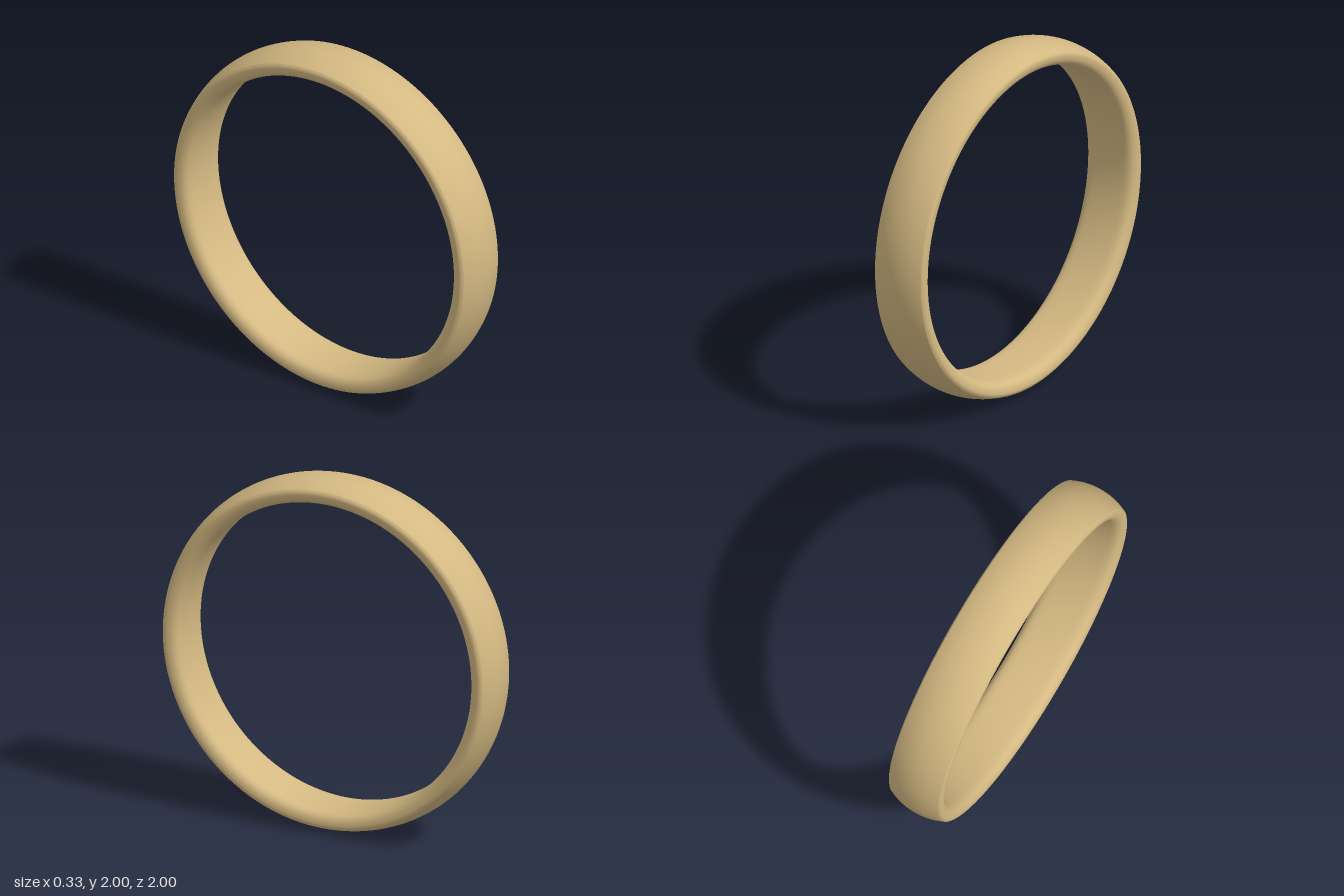
import * as THREE from 'three';

const SEGMENTS = 160;
const EDGE_X = 0.155, EDGE_R = 0.965; // crease between dome and rim

// Turn a profile of (radius, axial) points around the x axis
function turned(name, points, material) {
  const geometry = new THREE.LatheGeometry(points, SEGMENTS);
  geometry.rotateZ(-Math.PI / 2);
  const mesh = new THREE.Mesh(geometry, material);
  mesh.name = name;
  return mesh;
}

export function createModel() {
  const ring = new THREE.Group();
  ring.name = 'ring';
  const gold = new THREE.MeshStandardMaterial({ color: 0xd4b982 });

  // Domed outer face: a shallow circular arc
  const rise = 1 - EDGE_R;
  const arcR = (EDGE_X * EDGE_X + rise * rise) / (2 * rise);
  const half = Math.asin(EDGE_X / arcR);
  const dome = [];
  for (let i = 0; i <= 24; i++) {
    const a = -half + (2 * half * i) / 24;
    dome.push(new THREE.Vector2(1 - arcR + arcR * Math.cos(a), arcR * Math.sin(a)));
  }
  ring.add(turned('outerBand', dome, gold));

  // Rounded rims flowing smoothly into the inner face
  const side = [
    [EDGE_R, EDGE_X], [0.953, 0.163], [0.938, 0.165], [0.914, 0.16],
    [0.894, 0.146], [0.882, 0.122], [0.877, 0.08],
  ].map(([r, x]) => new THREE.Vector2(r, x));
  const mirrored = side.map((p) => new THREE.Vector2(p.x, -p.y)).reverse();
  const inner = new THREE.SplineCurve([...side, new THREE.Vector2(0.875, 0), ...mirrored]);
  ring.add(turned('innerBand', inner.getPoints(56), gold));

  ring.position.y = 1;
  const model = new THREE.Group();
  model.add(ring);
  return model;
}
